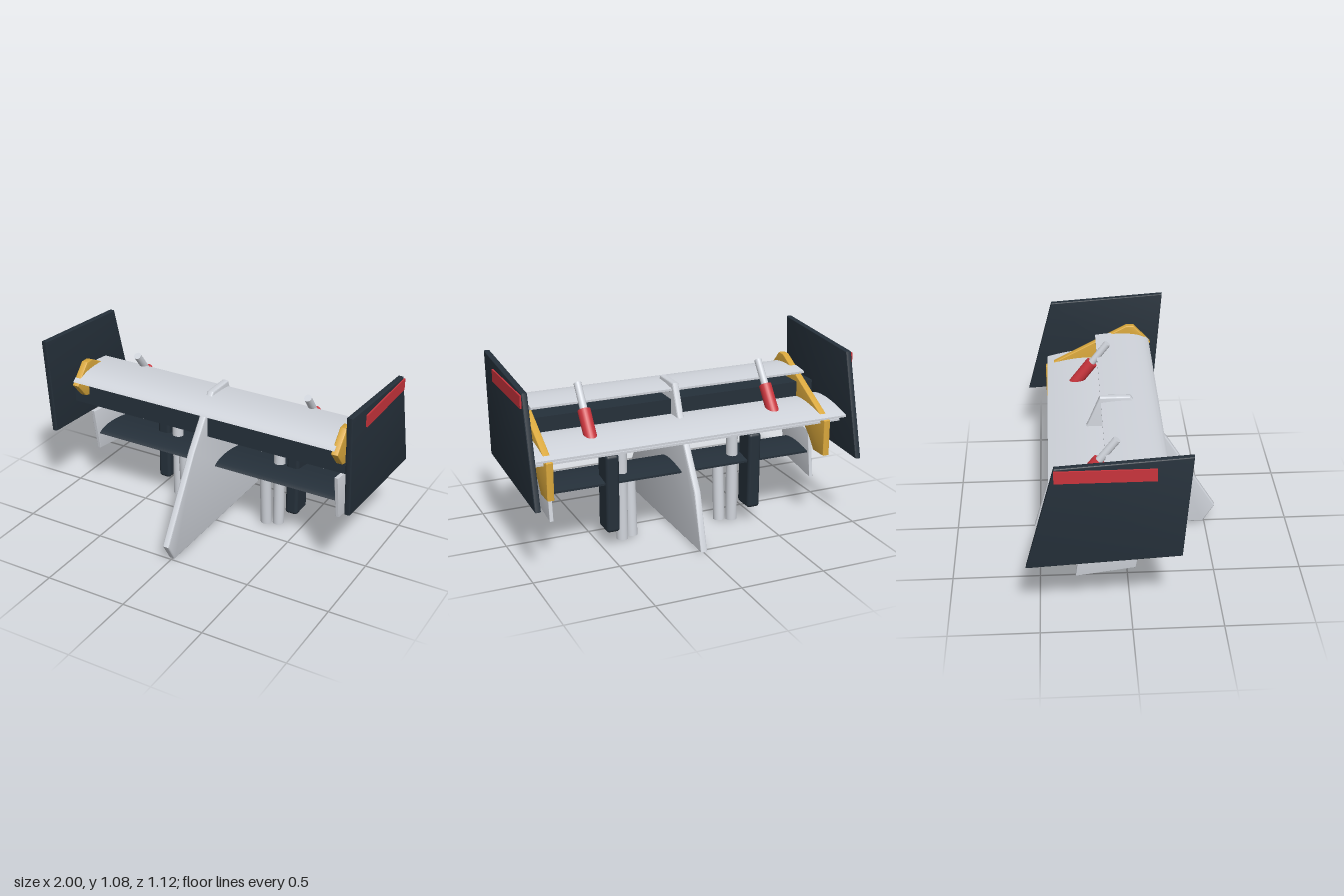
import * as THREE from 'three';
import { toCreasedNormals } from 'three/addons/utils/BufferGeometryUtils.js';
import { RoundedBoxGeometry } from 'three/addons/geometries/RoundedBoxGeometry.js';

const material = (name, color) => {
  const m = new THREE.MeshStandardMaterial({ color });
  m.name = name;
  return m;
};

export function createModel() {
  const model = new THREE.Group();
  model.name = 'rearWing';
  const silver = material('silver', 0xd0d4db);
  const dark = material('dark slate', 0x25303a);
  const gold = material('gold', 0xdaa83c);
  const red = material('red', 0xc9343c);

  const add = (name, geometry, mat, x = 0, y = 0, z = 0) => {
    const mesh = new THREE.Mesh(geometry, mat);
    mesh.name = name;
    mesh.position.set(x, y, z);
    model.add(mesh);
    return mesh;
  };

  // Extrudes a (z, y) outline along x between x0 and x1, bevel included
  const slab = (name, shape, x0, x1, mat, bevel = 0) => {
    const depth = x1 - x0 - 2 * bevel;
    let geometry = new THREE.ExtrudeGeometry(shape, {
      depth, steps: 1, curveSegments: 24,
      bevelEnabled: bevel > 0, bevelThickness: bevel, bevelSize: bevel,
      bevelOffset: -bevel, bevelSegments: 3,
    });
    geometry.translate(0, 0, -depth / 2).rotateY(-Math.PI / 2);
    geometry = toCreasedNormals(geometry, 0.6);
    return add(name, geometry, mat, (x0 + x1) / 2);
  };
  const outline = (points) => new THREE.Shape(points.map(([z, y]) => new THREE.Vector2(z, y)));

  // Cambered section: round nose in front, thin trailing edge behind
  const foil = (zNose, zTail, yNose, yTop, yTail, yLow) => {
    const chord = zNose - zTail;
    const s = new THREE.Shape();
    s.moveTo(zNose, yNose);
    s.bezierCurveTo(zNose - chord * 0.1, yTop, zNose - chord * 0.45, yTop + (yTop - yNose) * 0.35, zTail, yTail + 0.006);
    s.lineTo(zTail, yTail - 0.006);
    s.bezierCurveTo(zNose - chord * 0.6, yLow, zNose - chord * 0.2, yLow - 0.005, zNose, yNose);
    return s;
  };

  // Stacked wing elements
  slab('upperWing', foil(0.215, -0.125, 0.815, 0.865, 0.85, 0.79), -0.845, 0.86, silver);
  slab('mainWing', foil(0, -0.435, 0.655, 0.71, 0.655, 0.632), -0.96, 0.96, silver);
  slab('lowerFlap', foil(-0.04, -0.4, 0.615, 0.635, 0.625, 0.588), -0.935, 0.935, silver);
  add('crossBeam', new THREE.BoxGeometry(1.82, 0.155, 0.225), dark, 0, 0.7125, 0.0025);
  slab('beamWing', foil(0.03, -0.26, 0.395, 0.425, 0.395, 0.372), -0.815, 0.815, dark);

  // Central fin
  slab('centreFin', outline([
    [0.56, 0.12], [0.49, 0.005], [-0.535, 0.005], [-0.44, 0.335],
    [-0.27, 0.6], [-0.2, 0.72], [-0.13, 0.89], [0.045, 0.89], [0.265, 0.6],
  ]), -0.02, 0.02, silver, 0.008);

  // Curved gold brackets
  const bracket = outline([[0.225, 0.8], [0.12, 0.915], [0.07, 0.915], [-0.445, 0.645], [-0.445, 0.432], [-0.33, 0.432]]);
  bracket.bezierCurveTo(-0.22, 0.6, -0.02, 0.66, 0.15, 0.71);
  slab('leftBracket', bracket, 0.845, 0.885, gold, 0.004);
  slab('rightBracket', bracket, -0.845, -0.805, gold, 0.004);

  const endPlate = outline([[0.305, 1.083], [0.26, 0.477], [-0.56, 0.43], [-0.398, 1.035]]);
  const tipPlate = outline([[0.075, 0.568], [0.025, 0.29], [-0.3, 0.245], [-0.26, 0.53]]);
  const up = new THREE.Vector3(0, 1, 0);

  // Cylinder between two points
  const rod = (name, a, b, radius, mat) => {
    const p = new THREE.Vector3(...a);
    const d = new THREE.Vector3(...b).sub(p);
    const mesh = add(name, new THREE.CylinderGeometry(radius, radius, d.length(), 24), mat);
    mesh.position.copy(p).addScaledVector(d, 0.5);
    mesh.quaternion.setFromUnitVectors(up, d.normalize());
  };

  for (const [side, s] of [['left', 1], ['right', -1]]) {
    const span = (a, b) => (s > 0 ? [a, b] : [-b, -a]);
    // Outer end plates with a raised stripe
    slab(side + 'EndPlate', endPlate, ...span(0.957, 0.991), dark, 0.006);
    add(side + 'Stripe', new THREE.BoxGeometry(0.009, 0.07, 0.52), red, s * 0.9955, 0.99, -0.14);
    // Small plates closing the beam wing
    slab(side + 'TipPlate', tipPlate, ...span(0.807, 0.83), silver, 0.004);
    // Hanging block and support posts
    add(side + 'Block', new THREE.Mesh(new RoundedBoxGeometry(0.08, 0.468, 0.14, 3, 0.02)).geometry, dark, s * 0.445, 0.334, -0.21);
    rod(side + 'OuterPost', [s * 0.352, 0.003, -0.168], [s * 0.352, 0.61, -0.16], 0.034, silver);
    rod(side + 'InnerPost', [s * 0.283, 0.003, -0.142], [s * 0.283, 0.4, -0.112], 0.034, silver);
    // Sloping actuators on the main wing
    rod(side + 'ActuatorBody', [s * 0.565, 0.67, -0.268], [s * 0.565, 0.815, -0.157], 0.037, red);
    rod(side + 'ActuatorRod', [s * 0.565, 0.8, -0.168], [s * 0.565, 0.942, -0.06], 0.022, silver);
  }
  return model;
}
